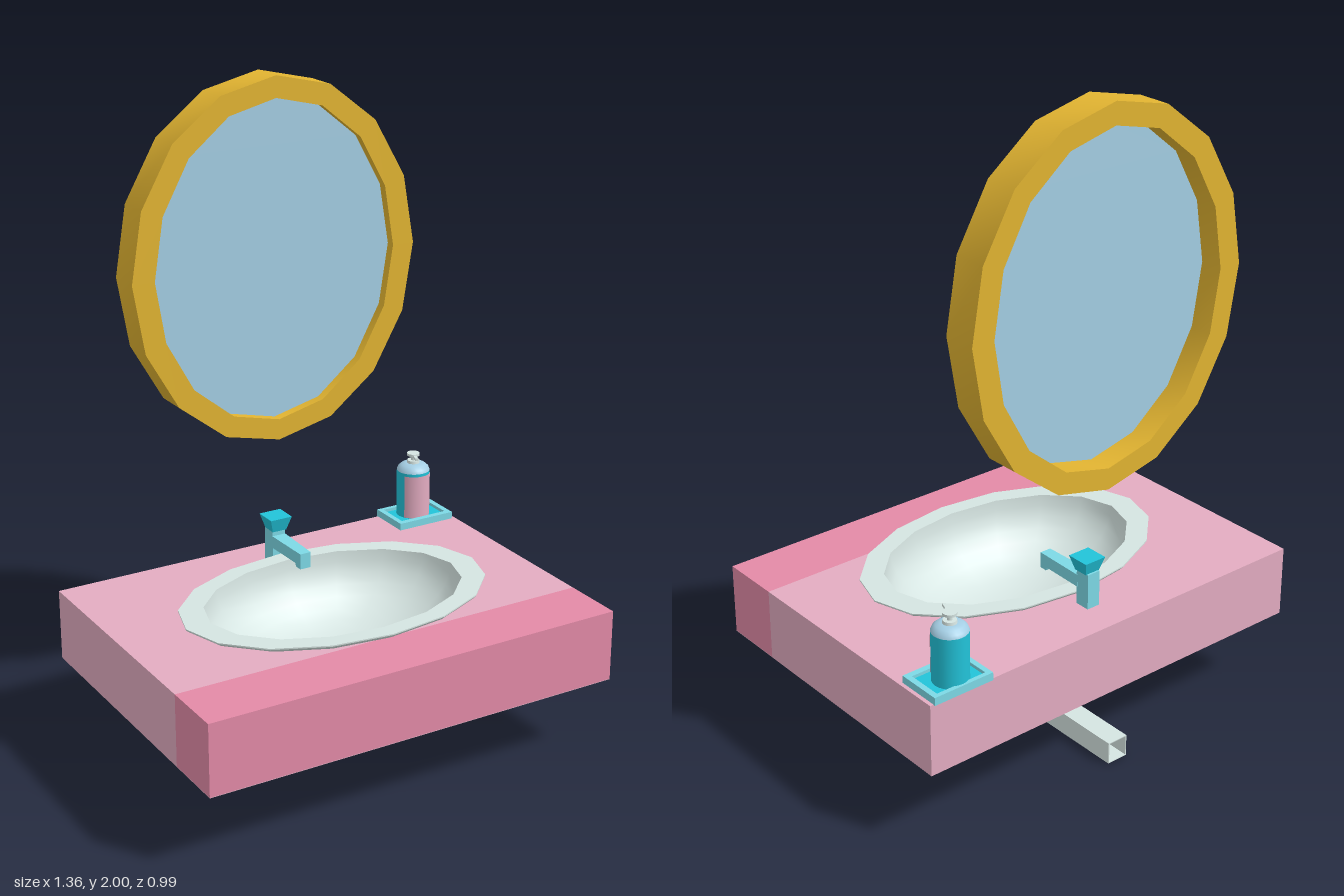
import * as THREE from 'three';
import { toCreasedNormals } from 'three/addons/utils/BufferGeometryUtils.js';

const mat = (name, color, side = THREE.FrontSide) => {
  const m = new THREE.MeshStandardMaterial({ color, side });
  m.name = name;
  return m;
};

export function createModel() {
  const M = {
    pink: mat('pale pink', 0xe3acc1),
    rose: mat('rose', 0xe38aa7),
    ceramic: mat('ceramic grey', 0xd5e4e1, THREE.DoubleSide),
    gold: mat('gold', 0xe2b431),
    glass: mat('mirror blue', 0xa4cee4),
    aqua: mat('light teal', 0x7dd9e6),
    teal: mat('teal', 0x22c3d9),
    brown: mat('dark brown', 0x733523),
  };
  const model = new THREE.Group();
  model.name = 'washbasin';

  const add = (name, geo, material, parent = model) => {
    const m = new THREE.Mesh(geo, material);
    m.name = name;
    parent.add(m);
    return m;
  };
  const group = (name) => {
    const g = new THREE.Group();
    g.name = name;
    model.add(g);
    return g;
  };
  // box given by its limits on each axis
  const box = (name, [x0, x1], [y0, y1], [z0, z1], material, parent) => {
    const m = add(name, new THREE.BoxGeometry(x1 - x0, y1 - y0, z1 - z0), material, parent);
    m.position.set((x0 + x1) / 2, (y0 + y1) / 2, (z0 + z1) / 2);
    return m;
  };
  const vec = (pts) => pts.map(p => new THREE.Vector2(...p));
  const oval = (rx, ry, cx = 0, cy = 0, n = 16) => Array.from({ length: n }, (_, i) => {
    const a = (i / n) * Math.PI * 2;
    return new THREE.Vector2(cx + rx * Math.cos(a), cy + ry * Math.sin(a));
  });
  const rect = (x0, x1, y0, y1) => vec([[x0, y0], [x1, y0], [x1, y1], [x0, y1]]);
  const extrude = (outer, depth, hole) => {
    const s = new THREE.Shape(outer);
    if (hole) s.holes.push(new THREE.Path(hole));
    return new THREE.ExtrudeGeometry(s, { depth, bevelEnabled: false });
  };
  // plan shape (x, -z) raised from height y
  const raise = (outer, y, height, hole) =>
    extrude(outer, height, hole).rotateX(-Math.PI / 2).translate(0, y, 0);
  const lathe = (pts, n) => new THREE.LatheGeometry(vec(pts), n);

  // Counter: rear slab with the basin opening, rose front strip
  const counter = group('counter');
  add('counterSlab', raise(rect(-0.68, 0.68, -0.297, 0.486), 0.243, 0.224, oval(0.42, 0.276, 0, -0.012)), M.pink, counter);
  box('counterFront', [-0.68, 0.68], [0.243, 0.467], [0.297, 0.494], M.rose, counter);
  box('counterUnderside', [-0.68, 0.68], [0.241, 0.243], [-0.486, 0.494], M.pink, counter);
  // Painted patches below the front edge
  box('brownPatch', [-0.679, -0.3], [0.2405, 0.242], [0.3, 0.493], M.brown, counter);
  const patch = vec([[-0.3, -0.493], [0.245, -0.493], [0.24, -0.36], [0.17, -0.28], [0.07, -0.23],
    [-0.07, -0.23], [-0.2, -0.25], [-0.3, -0.3]]);
  add('greyPatch', raise(patch, 0.2405, 0.0015), M.ceramic, counter);

  // Basin: flared rim and smooth bowl
  const basin = group('basin');
  basin.position.set(0.001, 0, 0.012);
  const rim = lathe([[0.84, 0.467], [0.93, 0.478], [0.98, 0.488], [1, 0.496], [1, 0.5], [0.84, 0.5]], 16);
  add('basinRim', toCreasedNormals(rim.scale(0.5, 1, 0.332), 0.6), M.ceramic, basin);
  const bowlPts = [];
  for (let i = 0; i <= 10; i++) {
    const a = (i / 10) * Math.PI / 2;
    bowlPts.push([0.84 * Math.cos(a), 0.5 - 0.22 * Math.sin(a)]);
  }
  add('basinBowl', lathe(bowlPts, 16).scale(0.5, 1, 0.332), M.ceramic, basin);

  // Mirror: deep oval frame around a thin pane seen from both sides
  const mirror = group('mirror');
  mirror.position.set(0.008, 1.439, -0.437);
  add('mirrorFrame', toCreasedNormals(extrude(oval(0.48, 0.561), 0.107, oval(0.407, 0.495)), 0.6), M.gold, mirror);
  add('mirrorPane', extrude(oval(0.409, 0.497), 0.004), M.glass, mirror).position.z = 0.073;

  // Tap: column, tapered spout with a lip, flared square handle
  const tap = group('tap');
  box('tapColumn', [-0.022, 0.022], [0.465, 0.58], [-0.376, -0.326], M.aqua, tap);
  const spout = extrude(vec([[-0.33, 0.523], [-0.19, 0.523], [-0.185, 0.512], [-0.16, 0.512],
    [-0.16, 0.562], [-0.33, 0.562]]), 0.046);
  spout.rotateY(-Math.PI / 2).translate(0.023, 0, 0);
  const sp = spout.attributes.position;
  for (let i = 0; i < sp.count; i++) sp.setX(i, sp.getX(i) * (1 - 0.2 * (sp.getZ(i) + 0.33) / 0.17));
  spout.computeVertexNormals();
  add('tapSpout', spout, M.aqua, tap);
  const handle = new THREE.CylinderGeometry(0.037 * Math.SQRT2, 0.024 * Math.SQRT2, 0.045, 4).rotateY(Math.PI / 4);
  add('tapHandle', toCreasedNormals(handle, 0.3), M.teal, tap).position.set(0, 0.6, -0.345);

  // Drain: hollow flange, square down pipe and open rear pipe
  const drain = group('drain');
  const flange = raise(rect(-0.1, 0.1, 0.02, 0.25), 0.21, 0.033, rect(-0.085, 0.085, 0.042, 0.235));
  // the front lower edge tucks in
  const fp = flange.attributes.position;
  for (let i = 0; i < fp.count; i++) {
    if (fp.getY(i) < 0.22 && fp.getZ(i) > -0.03) fp.setZ(i, -0.036);
  }
  flange.computeVertexNormals();
  add('drainFlange', flange, M.ceramic, drain);
  box('downPipe', [-0.035, 0.035], [0, 0.242], [-0.18, -0.108], M.ceramic, drain);
  const pipe = extrude(rect(-0.035, 0.035, 0, 0.07), 0.315, rect(-0.032, 0.032, 0.003, 0.067));
  add('rearPipe', pipe, M.ceramic, drain).position.z = -0.494;

  // Tray with raised edge
  const tray = group('tray');
  add('trayEdge', raise(rect(0.467, 0.668, 0.347, 0.491), 0.465, 0.025, rect(0.484, 0.65, 0.366, 0.477)), M.aqua, tray);
  box('trayFloor', [0.483, 0.651], [0.466, 0.48], [-0.478, -0.365], M.teal, tray);

  // Soap bottle: teal body, pink front label, blue shoulder, pump
  const bottle = group('soapBottle');
  bottle.position.set(0.567, 0, -0.43);
  add('bottleBody', new THREE.CylinderGeometry(0.054, 0.054, 0.157, 24), M.teal, bottle).position.y = 0.5565;
  add('bottleLabel', new THREE.CylinderGeometry(0.055, 0.055, 0.145, 14, 1, true, -1.1, 2.2), M.pink, bottle)
    .position.y = 0.5535;
  add('bottleShoulder', lathe([[0.054, 0.635], [0.05, 0.645], [0.04, 0.654], [0.025, 0.659], [0, 0.66]], 24), M.glass, bottle);
  add('pumpCollar', new THREE.CylinderGeometry(0.02, 0.022, 0.012, 16), M.ceramic, bottle).position.y = 0.662;
  add('pumpStem', new THREE.CylinderGeometry(0.008, 0.008, 0.02, 12), M.ceramic, bottle).position.y = 0.675;
  add('pumpHead', new THREE.CylinderGeometry(0.021, 0.021, 0.008, 16), M.ceramic, bottle).position.y = 0.688;
  const nozzle = new THREE.BoxGeometry(0.01, 0.008, 0.05).translate(0, 0.686, 0.025);
  add('pumpNozzle', nozzle, M.ceramic, bottle).rotation.y = -0.35;

  return model;
}
